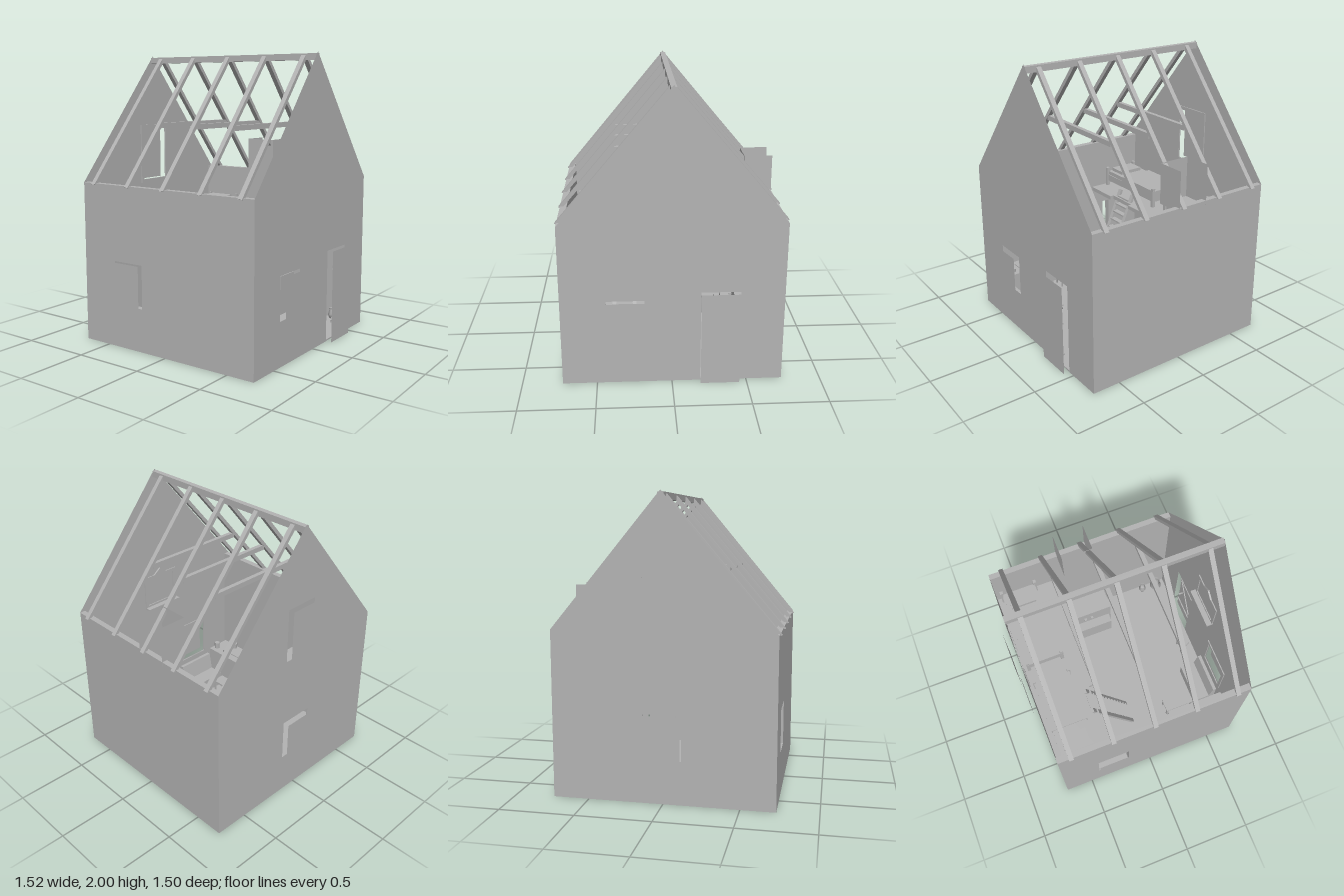
import * as THREE from 'three';

export function createModel() {
  const house = new THREE.Group();
  house.name = 'house';
  const grey = new THREE.MeshStandardMaterial({ color: 0xb3b3b3, side: THREE.DoubleSide });
  grey.name = 'plain grey';

  const add = (name, geo, x = 0, y = 0, z = 0, parent = house) => {
    const m = new THREE.Mesh(geo, grey);
    m.name = name;
    m.position.set(x, y, z);
    parent.add(m);
    return m;
  };
  // box from its two extreme corners
  const box = (name, x0, x1, y0, y1, z0, z1, parent) =>
    add(name, new THREE.BoxGeometry(x1 - x0, y1 - y0, z1 - z0), (x0 + x1) / 2, (y0 + y1) / 2, (z0 + z1) / 2, parent);
  const poly = (pts, Kind = THREE.Shape) => new Kind(pts.map(p => new THREE.Vector2(...p)));
  const rect = (x0, x1, y0, y1, Kind) => poly([[x0, y0], [x1, y0], [x1, y1], [x0, y1]], Kind);
  const extrude = (shape, depth) => new THREE.ExtrudeGeometry(shape, { depth, bevelEnabled: false });
  const plate = (name, [x0, x1, y0, y1], z) =>
    add(name, new THREE.PlaneGeometry(x1 - x0, y1 - y0), (x0 + x1) / 2, (y0 + y1) / 2, z);
  const frame = (name, [x0, x1, y0, y1], z, b = 0.025) => {
    const s = rect(x0 - b, x1 + b, y0 - b, y1 + b);
    s.holes.push(rect(x0, x1, y0, y1, THREE.Path));
    return add(name, extrude(s, 0.008), 0, 0, z);
  };

  // Thin gable walls with openings
  const frontWindow = [-0.43, -0.18, 0.3, 0.6];
  const door = [0.19, 0.45, 0, 0.65];
  const backWindow = [-0.12, 0.13, 0.29, 0.59];
  const loftWindow = [-0.12, 0.13, 1.08, 1.465];
  const peak = [[0.74, 1.12], [0.007, 2], [-0.73, 1.12]];
  const front = poly([[-0.73, 0], [door[0], 0], [door[0], door[3]], [door[1], door[3]], [door[1], 0], [0.74, 0], ...peak]);
  front.holes.push(rect(...frontWindow, THREE.Path));
  add('frontGable', new THREE.ShapeGeometry(front), 0, 0, 0.703);
  const back = poly([[-0.73, 0], [0.74, 0], ...peak]);
  back.holes.push(rect(...backWindow, THREE.Path), rect(...loftWindow, THREE.Path));
  add('backGable', new THREE.ShapeGeometry(back), 0, 0, -0.708);

  // Side walls; the one at -x has a window
  box('leftWall', 0.7, 0.74, 0, 1.12, -0.708, 0.703);
  const side = rect(-0.703, 0.708, 0, 1.12);
  side.holes.push(rect(0.19, 0.43, 0.3, 0.6, THREE.Path));
  add('rightWall', extrude(side, 0.045), -0.73, 0, 0).rotation.y = Math.PI / 2;
  box('groundFloor', -0.729, 0.739, 0.001, 0.012, -0.707, 0.702);

  // Shutters, door leaf and inner frames
  plate('frontShutter', frontWindow, 0.745);
  plate('doorLeaf', door, 0.745);
  plate('backShutter', backWindow, -0.75);
  plate('loftShutter', loftWindow, -0.75);
  plate('sideShutter', [-0.43, -0.19, 0.3, 0.6], 0).rotation.y = -Math.PI / 2;
  house.children.at(-1).position.set(-0.768, 0.45, -0.31);
  frame('frontWindowFrame', frontWindow, 0.69);
  frame('backWindowFrame', backWindow, -0.705);
  frame('loftWindowFrame', loftWindow, -0.705);
  for (const y of [0.14, 0.51]) box('doorBatten', 0.2, 0.44, y, y + 0.012, 0.729, 0.738);
  add('doorBrace', new THREE.BoxGeometry(0.42, 0.012, 0.008), 0.32, 0.33, 0.734).rotation.z = 0.99;
  box('doorHandle', 0.38, 0.39, 0.34, 0.35, 0.7, 0.735);

  // Open roof frame
  box('ridgeBeam', -0.012, 0.026, 1.945, 1.988, -0.708, 0.703);
  const rafterShape = poly([[0.013, 1.985], [0.749, 1.113], [0.725, 1.105], [0.013, 1.945]]);
  for (const [i, z] of [-0.613, -0.309, -0.005, 0.3, 0.605].entries()) {
    for (const turn of [0, Math.PI]) {
      const r = add('rafter', extrude(rafterShape, 0.033), 0.007, 0, z - (turn ? -0.0165 : 0.0165));
      r.rotation.y = turn;
    }
    if (i > 0 && i < 4) box('collarBeam', -0.375, 0.389, 1.49, 1.525, z - 0.015, z + 0.015);
  }

  // Thin dormer niche, open toward the outside
  for (const z of [0.03, -0.195]) plate('dormerCheek', [0.545, 0.742, 1.09, 1.37], z);
  add('dormerBack', new THREE.PlaneGeometry(0.225, 0.28), 0.545, 1.23, -0.0825).rotation.y = Math.PI / 2;

  // Loft with a notch for the ladder
  const loft = 0.75;
  box('loftFloor', -0.685, 0.7, loft - 0.03, loft, -0.706, -0.3);
  box('loftEdge', -0.685, -0.43, loft - 0.03, loft, -0.3, -0.27);
  box('loftEdge', -0.2, 0.7, loft - 0.03, loft, -0.3, -0.27);
  const ladder = new THREE.Group();
  ladder.name = 'ladder';
  house.add(ladder);
  const tilt = Math.atan2(0.33, 0.8);
  for (const x of [-0.392, -0.24])
    add('ladderRail', new THREE.BoxGeometry(0.03, 0.86, 0.02), x, 0.405, -0.18, ladder).rotation.x = -tilt;
  for (let i = 1; i < 14; i++) {
    const y = i * 0.058, z = -0.015 - y * 0.4125;
    box('ladderTread', -0.38, -0.25, y, y + 0.012, z - 0.02, z + 0.02, ladder);
  }

  // Beds, with pillows toward the side walls
  for (const s of [-1, 1]) {
    const bed = new THREE.Group();
    bed.name = 'bed';
    bed.position.set(s < 0 ? -0.36 : 0.38, loft, -0.535);
    bed.scale.x = 1;
    house.add(bed);
    box('bedFrame', -0.3, 0.3, 0.04, 0.09, -0.13, 0.13, bed);
    box('mattress', -0.29, 0.29, 0.09, 0.12, -0.125, 0.125, bed);
    const blanket = [-0.11 * s - 0.2, -0.11 * s + 0.2];
    box('blanket', ...blanket, 0.07, 0.13, -0.135, 0.135, bed);
    const p = s * 0.215;
    box('pillow', p - 0.065, p + 0.065, 0.12, 0.145, -0.095, 0.095, bed);
    for (const x of [-0.295, 0.295]) for (const z of [-0.13, 0.13])
      box('bedPost', x - 0.012, x + 0.012, 0, 0.15, z - 0.012, z + 0.012, bed);
  }

  // Kitchen counter
  box('counter', -0.685, -0.495, 0.012, 0.29, 0.24, 0.69);
  box('hob', -0.67, -0.6, 0.29, 0.297, 0.25, 0.34);
  box('sink', -0.645, -0.555, 0.29, 0.297, 0.38, 0.5);
  add('pot', new THREE.CylinderGeometry(0.025, 0.022, 0.04, 8), -0.655, 0.31, 0.55);
  add('cup', new THREE.CylinderGeometry(0.013, 0.01, 0.025, 8), -0.54, 0.303, 0.555);
  add('jar', new THREE.CylinderGeometry(0.022, 0.022, 0.05, 6), -0.55, 0.315, 0.655);

  // Couch facing the low table
  box('couchSeat', -0.455, -0.15, 0.03, 0.14, 0.51, 0.64);
  add('couchBack', extrude(poly([[-0.64, 0.03], [-0.675, 0.03], [-0.675, 0.27], [-0.65, 0.27], [-0.625, 0.14]]), 0.305), -0.455, 0, 0)
    .rotation.y = Math.PI / 2;
  box('lowTableTop', -0.45, -0.35, 0.11, 0.125, 0.26, 0.49);
  for (const x of [-0.44, -0.36]) for (const z of [0.27, 0.48])
    box('lowTableLeg', x - 0.007, x + 0.007, 0.012, 0.11, z - 0.007, z + 0.007);

  // Desk and cabinet by the wall
  box('bench', 0.43, 0.5, 0.012, 0.18, -0.27, 0.12);
  box('cabinet', 0.5, 0.7, 0.012, 0.32, -0.27, 0.14);
  for (const z of [-0.085, -0.03]) box('cabinetKnob', 0.48, 0.5, 0.24, 0.255, z - 0.01, z + 0.01);

  // Three-legged stools
  for (const [x, z] of [[-0.6, 0.145], [0.33, -0.215], [0.05, 0.61]]) {
    add('stoolSeat', new THREE.CylinderGeometry(0.053, 0.053, 0.018, 8), x, 0.17, z);
    for (let i = 0; i < 3; i++) {
      const a = Math.PI / 2 + i * Math.PI * 2 / 3;
      add('stoolLeg', new THREE.CylinderGeometry(0.007, 0.007, 0.165, 5), x + 0.047 * Math.cos(a), 0.085, z + 0.047 * Math.sin(a));
    }
  }

  // Urns in the corner
  for (const [x, z, r] of [[0.667, 0.5, 0.032], [0.65, 0.615, 0.048]]) {
    const profile = [[0, 0], [0.6, 0], [1, 1], [0.6, 2.1], [0.75, 2.5]].map(p => new THREE.Vector2(p[0] * r, p[1] * r));
    add('urn', new THREE.LatheGeometry(profile, 8), x, 0.012, z);
  }

  // Framed board and shelf on the inside of the front gable
  frame('wallFrame', [-0.115, 0.135, 0.95, 1.16], 0.69);
  box('wallShelf', -0.14, 0.16, 0.92, 0.935, 0.65, 0.7);
  add('wallFrameCrest', extrude(poly([[-0.05, 1.185], [0.07, 1.185], [0.01, 1.23]]), 0.012), 0, 0, 0.687);

  return house;
}
